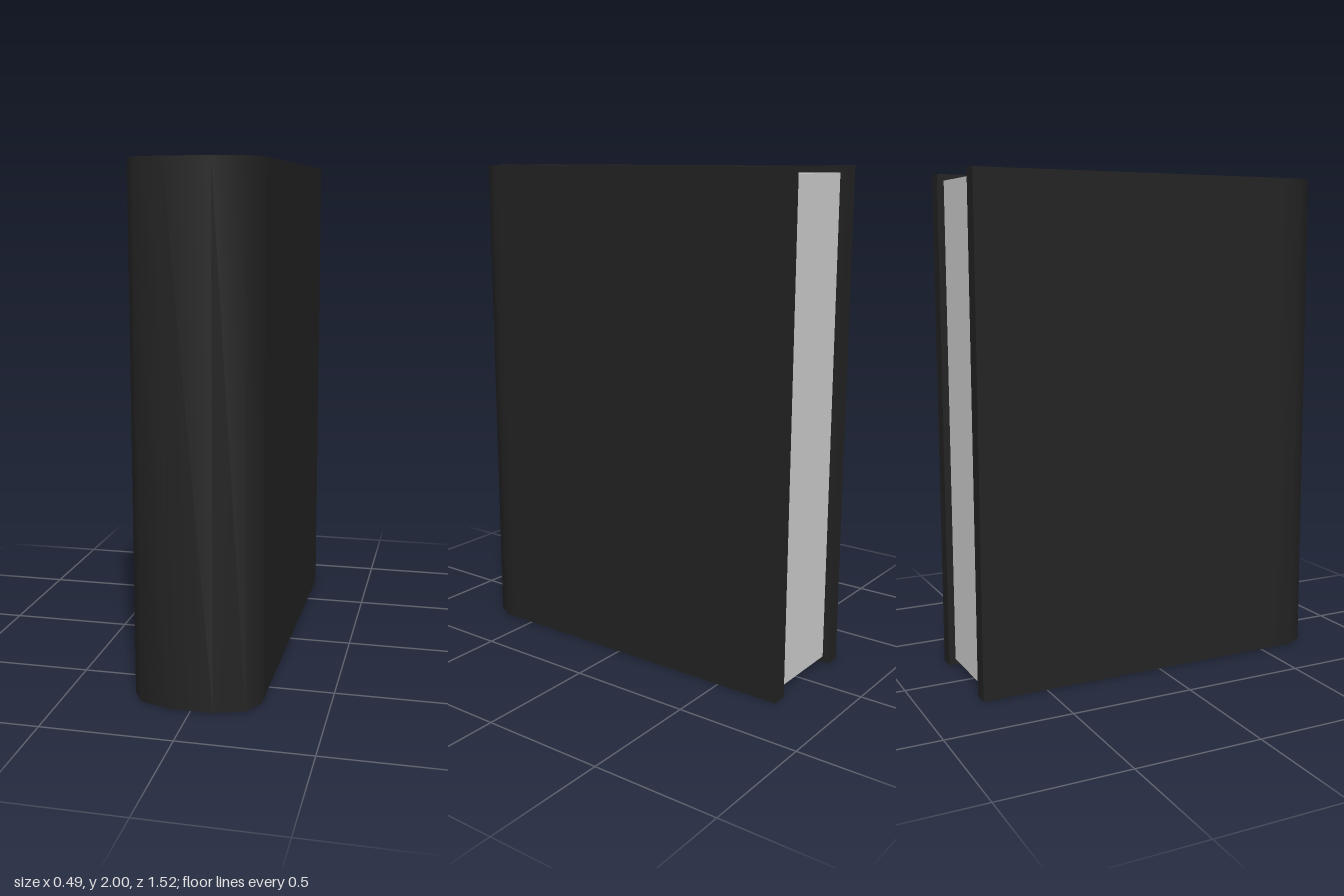
import * as THREE from 'three';
import { toCreasedNormals } from 'three/addons/utils/BufferGeometryUtils.js';

// Half outlines seen from above as [x, z], from the open edge round to the spine
const OUTER = [[0.245, -0.762], [0.245, 0.58], [0.245, 0.65], [0.2, 0.725], [0.085, 0.762]];
const INNER = [[0.18, -0.762], [0.18, 0.58], [0.18, 0.64], [0.148, 0.69], [0.075, 0.715]];

// Mirror a half outline into a full U, running from +x to -x
const mirrored = (half) => [...half, ...half.map(([x, z]) => [-x, z]).reverse()];

// Stand an outline up as a prism between two heights
function prism(name, outline, bottom, top, material) {
  const shape = new THREE.Shape(outline.map(([x, z]) => new THREE.Vector2(x, -z)));
  const geometry = new THREE.ExtrudeGeometry(shape, { depth: top - bottom, bevelEnabled: false });
  geometry.rotateX(-Math.PI / 2).translate(0, bottom, 0);
  const mesh = new THREE.Mesh(toCreasedNormals(geometry, THREE.MathUtils.degToRad(50)), material);
  mesh.name = name;
  return mesh;
}

export function createModel() {
  const coverBlack = new THREE.MeshStandardMaterial({ name: 'coverBlack', color: 0x222222 });
  const paperGrey = new THREE.MeshStandardMaterial({ name: 'paperGrey', color: 0xcccccc });

  const book = new THREE.Group();
  book.name = 'book';

  // Two boards joined by a rounded spine
  book.add(prism('cover', [...mirrored(OUTER), ...mirrored(INNER).reverse()], 0, 2, coverBlack));

  // Page block, set in a little at the top, bottom and open edge
  const pageHalf = INNER.map(([x, z]) => [x, Math.max(z, -0.735)]);
  book.add(prism('pages', mirrored(pageHalf), 0.025, 1.975, paperGrey));

  return book;
}
